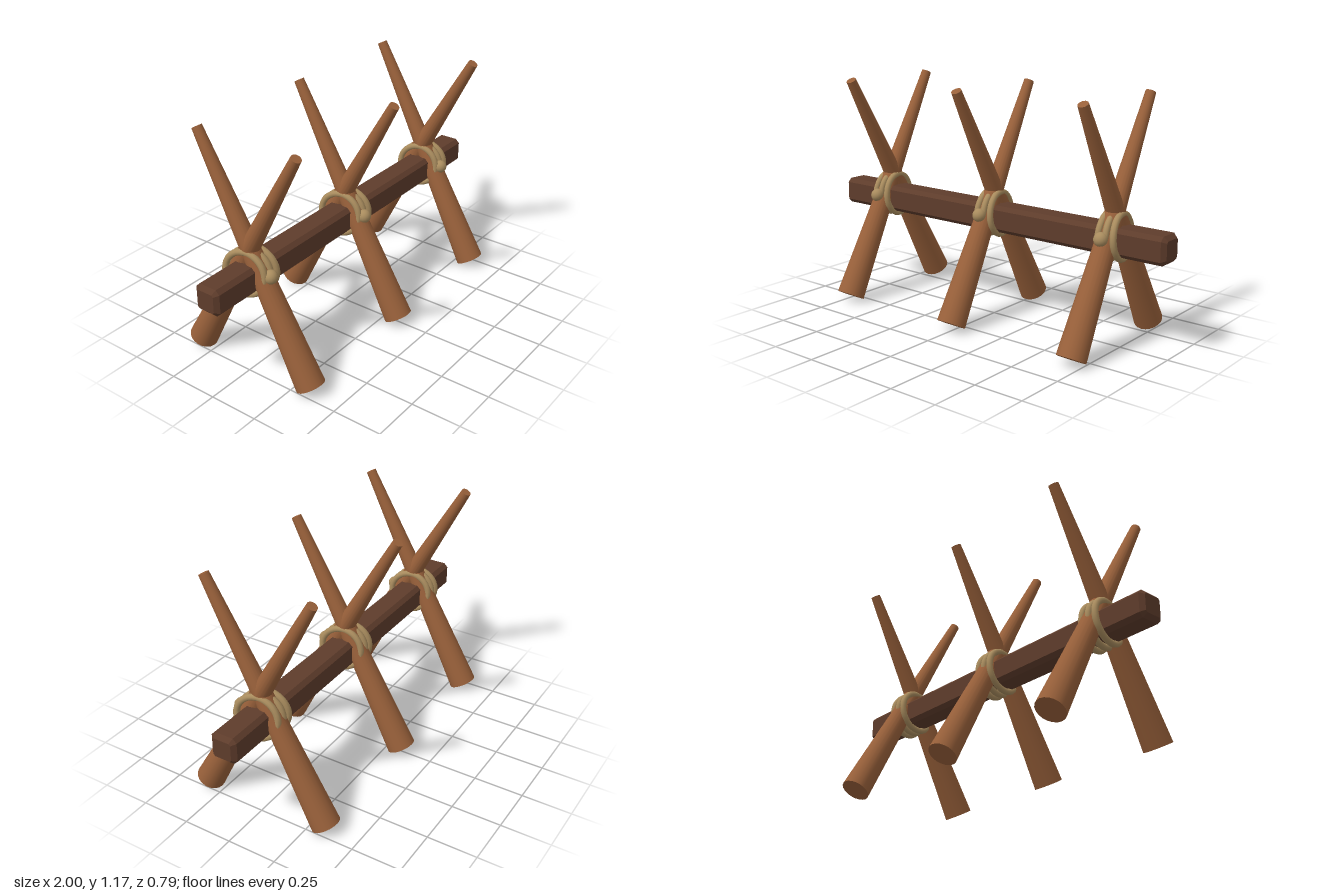
import * as THREE from 'three';

const paint = (name, color) => {
  const m = new THREE.MeshStandardMaterial({ color });
  m.name = name;
  return m;
};

export function createModel() {
  const model = new THREE.Group();
  model.name = 'spikedBarrier';
  const logWood = paint('logWood', 0x98603a);
  const beamWood = paint('beamWood', 0x5e3c2b);
  const rope = paint('rope', 0xa98c5e);

  const add = (parent, name, geometry, material) => {
    const mesh = new THREE.Mesh(geometry, material);
    mesh.name = name;
    parent.add(mesh);
    return mesh;
  };

  // Square beam with chamfered edges and ends
  const h = 0.067, c = 0.02;
  const section = new THREE.Shape([
    [h, -h + c], [h, h - c], [h - c, h], [-h + c, h],
    [-h, h - c], [-h, -h + c], [-h + c, -h], [h - c, -h],
  ].map(([x, y]) => new THREE.Vector2(x, y)));
  const beamGeometry = new THREE.ExtrudeGeometry(section, {
    depth: 2 - 2 * c, bevelThickness: c, bevelSize: c, bevelOffset: -c, bevelSegments: 1,
  });
  beamGeometry.translate(0, 0, -1 + c).rotateY(Math.PI / 2);
  add(model, 'beam', beamGeometry, beamWood).position.y = 0.518;

  // Shared log, ring and knot shapes
  const foot = new THREE.Vector3(0, 0.038, 0.333);
  const tip = new THREE.Vector3(0, 1.164, -0.28);
  const axis = tip.clone().sub(foot);
  const logGeometry = new THREE.CylinderGeometry(0.025, 0.071, axis.length(), 20);
  const tilt = Math.atan2(axis.z, axis.y);
  const ringGeometry = new THREE.TorusGeometry(0.104, 0.016, 10, 32).rotateY(Math.PI / 2);
  const knotGeometry = new THREE.SphereGeometry(0.034, 16, 12);

  for (const x of [-0.704, 0, 0.704]) {
    const cross = new THREE.Group();
    cross.name = 'crossedStakes';
    cross.position.x = x;
    model.add(cross);

    // Two tapered logs leaning opposite ways
    for (const side of [1, -1]) {
      const log = add(cross, side > 0 ? 'frontFootedStake' : 'backFootedStake', logGeometry, logWood);
      log.position.set(0, (foot.y + tip.y) / 2, side * (foot.z + tip.z) / 2);
      log.rotation.x = side * tilt;
    }

    // Rope lashing: three skewed turns and a knot in front
    for (const i of [-1, 0, 1]) {
      const ring = add(cross, 'ropeTurn', ringGeometry, rope);
      ring.position.set(i * 0.041, 0.536, 0);
      ring.rotation.set(0, 0.15, i * 0.06);
    }
    add(cross, 'ropeKnot', knotGeometry, rope).position.set(0, 0.54, 0.117);
  }
  return model;
}
